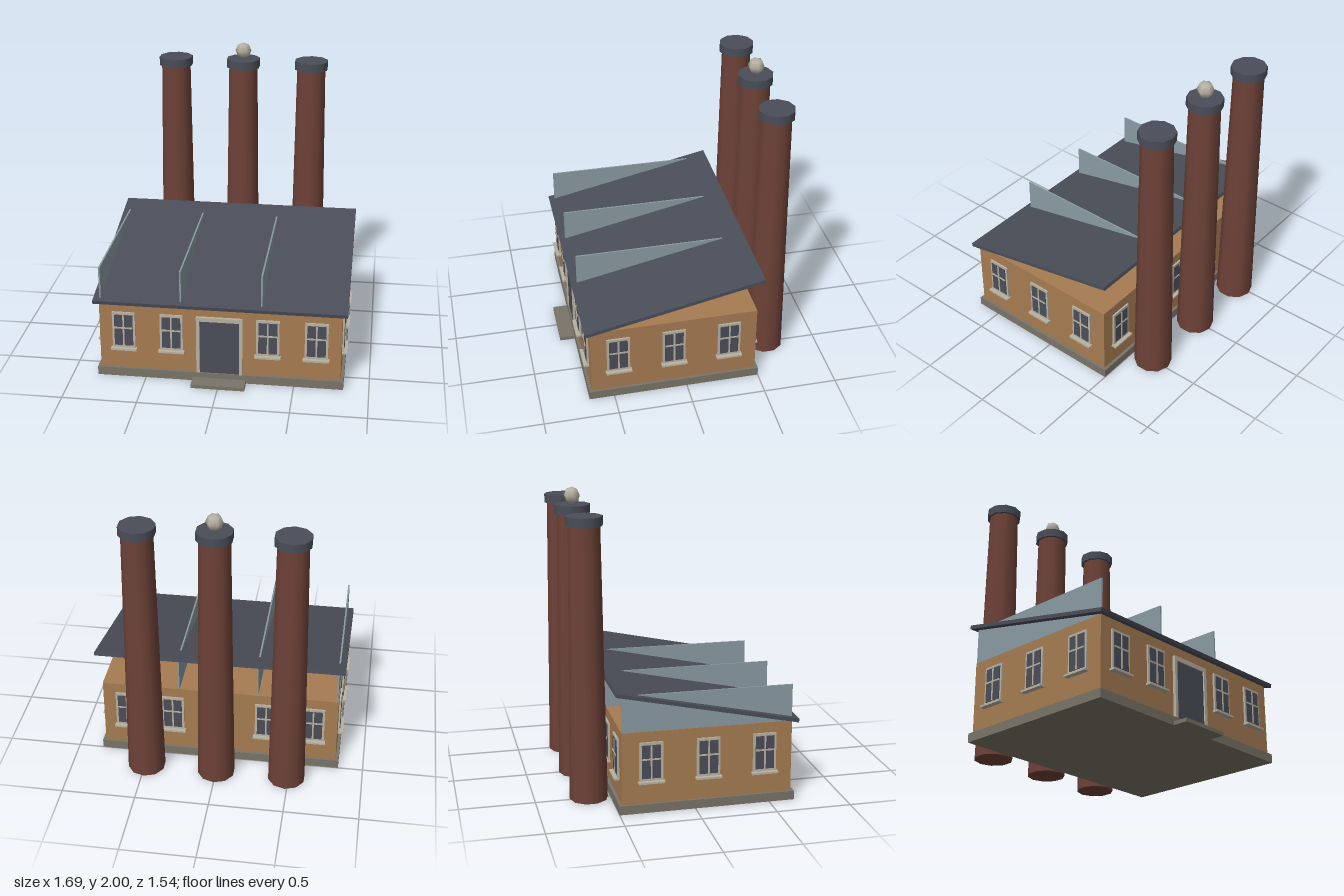
import * as THREE from 'three';

function mat(name, color) {
  const m = new THREE.MeshStandardMaterial({ color });
  m.name = name;
  return m;
}

export function createModel() {
  const wall = mat('ochre wall', 0xa67c52);
  const slate = mat('slate', 0x4a4e58);
  const brick = mat('brick red', 0x6e4238);
  const glass = mat('blue grey glass', 0x8a9ba3);
  const trim = mat('pale trim', 0xb8b2a2);
  const stone = mat('stone', 0x7a7468);

  const model = new THREE.Group();
  model.name = 'factory';

  function add(parent, name, geometry, material, x, y, z) {
    const mesh = new THREE.Mesh(geometry, material);
    mesh.name = name;
    mesh.position.set(x, y, z);
    parent.add(mesh);
    return mesh;
  }
  // Box given by its size and centre
  const box = (parent, name, material, w, h, d, x, y, z) =>
    add(parent, name, new THREE.BoxGeometry(w, h, d), material, x, y, z);

  // Plinth, walls and door step
  box(model, 'plinth', stone, 1.66, 0.06, 1.17, 0, 0.03, 0.085);
  box(model, 'walls', wall, 1.62, 0.485, 1.13, 0, 0.3025, 0.085);
  box(model, 'doorStep', stone, 0.36, 0.025, 0.12, 0, 0.0125, 0.713);

  // Sloping roof, high at the back
  const roof = box(model, 'roof', slate, 1.69, 0.025, 1.232, 0, 0.68, 0.085);
  roof.rotation.x = 0.21;

  // Upright glazed fins cutting through the roof
  for (const x of [-0.8, -0.26, 0.28]) {
    box(model, 'roofFin', glass, 0.011, 0.245, 1.13, x, 0.6675, 0.085);
  }

  // Door with jambs and lintel
  const door = new THREE.Group();
  door.name = 'door';
  door.position.set(0, 0.06, 0.65);
  model.add(door);
  box(door, 'doorPanel', slate, 0.264, 0.386, 0.012, 0, 0.193, 0.004);
  for (const s of [-1, 1]) box(door, 'jamb', trim, 0.023, 0.415, 0.022, s * 0.1435, 0.2075, 0.009);
  box(door, 'lintel', trim, 0.264, 0.029, 0.022, 0, 0.4005, 0.009);

  // Windows face outward along their own +z
  function addWindow(x, z, turn) {
    const win = new THREE.Group();
    win.name = 'window';
    win.position.set(x, 0.345, z);
    win.rotation.y = turn;
    model.add(win);
    box(win, 'windowFrame', trim, 0.155, 0.26, 0.012, 0, 0, 0.006);
    box(win, 'windowPane', slate, 0.125, 0.225, 0.005, 0, 0, 0.0135);
    box(win, 'mullion', trim, 0.011, 0.225, 0.004, 0, 0, 0.018);
    box(win, 'crossbar', trim, 0.125, 0.011, 0.004, 0, 0.018, 0.018);
    box(win, 'windowSill', trim, 0.175, 0.013, 0.037, 0, -0.137, 0.0185);
  }
  for (const x of [-0.645, -0.323, 0.323, 0.645]) addWindow(x, 0.65, 0);
  for (const x of [-0.645, -0.323, 0, 0.323, 0.645]) addWindow(x, -0.48, Math.PI);
  for (const z of [0.465, 0.088, -0.29]) {
    addWindow(0.81, z, Math.PI / 2);
    addWindow(-0.81, z, -Math.PI / 2);
  }

  // Three tapered chimneys with caps
  for (const x of [-0.486, 0, 0.486]) {
    const chimney = new THREE.Group();
    chimney.name = 'chimney';
    chimney.position.set(x, 0, -0.643);
    model.add(chimney);
    add(chimney, 'chimneyShaft', new THREE.CylinderGeometry(0.103, 0.128, 1.83, 10), brick, 0, 0.915, 0);
    add(chimney, 'chimneyCap', new THREE.CylinderGeometry(0.12, 0.12, 0.06, 10), slate, 0, 1.855, 0);
  }

  // Ball above the middle chimney
  add(model, 'ballFinial', new THREE.SphereGeometry(0.057, 6, 4), trim, 0, 1.943, -0.643);

  return model;
}
